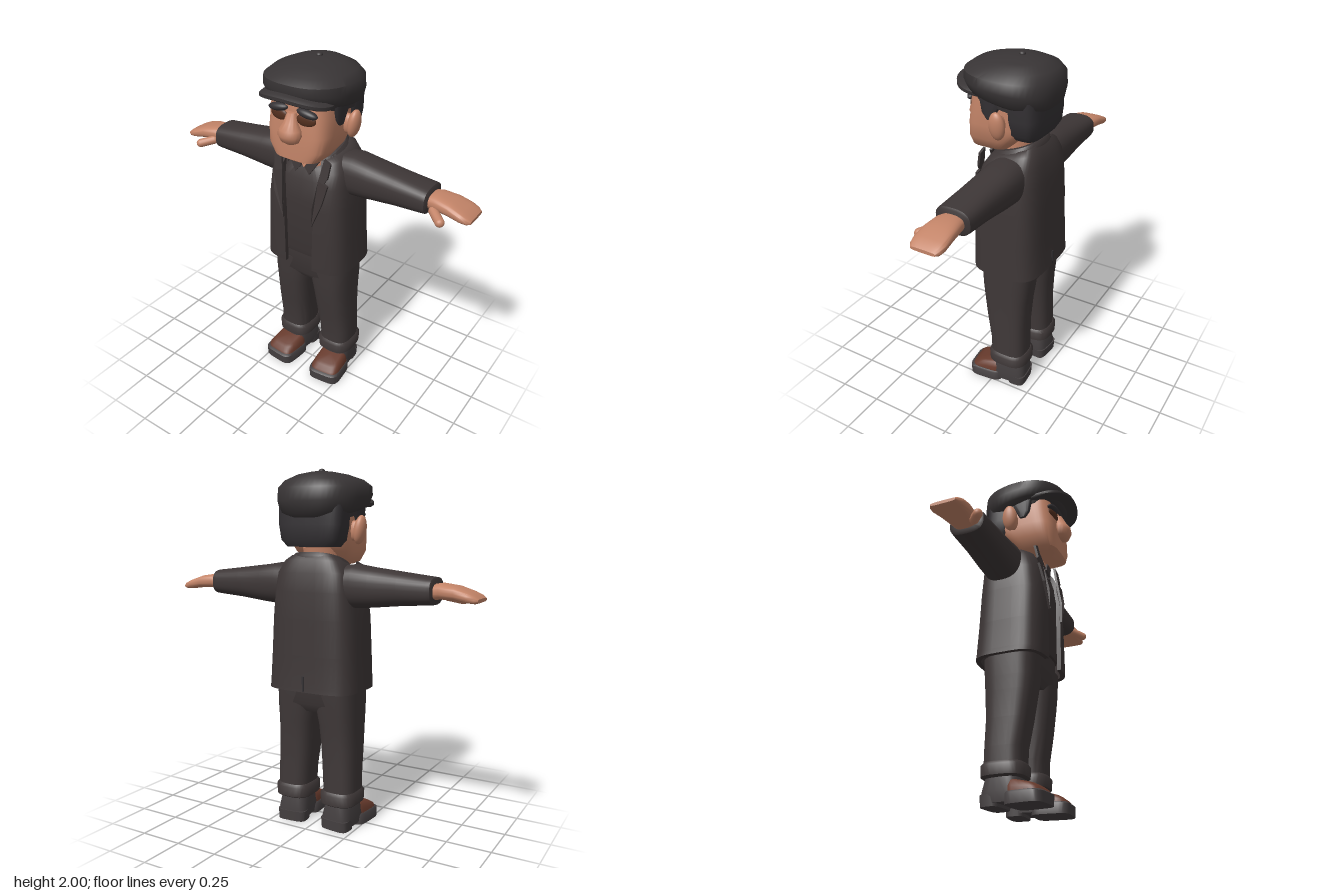
import * as THREE from 'three';
import { toCreasedNormals } from 'three/addons/utils/BufferGeometryUtils.js';

const material = (name, color) => Object.assign(new THREE.MeshStandardMaterial({ color }), { name });

// Point on a superellipse with half sizes a, b and squareness e
function oval(t, a, b, e) {
  const f = (v) => Math.sign(v) * Math.abs(v) ** (2 / e);
  return [a * f(Math.cos(t)), b * f(Math.sin(t))];
}

function build(points, index, crease = 0.8) {
  const g = new THREE.BufferGeometry();
  g.setAttribute('position', new THREE.Float32BufferAttribute(points, 3));
  g.setIndex(index);
  return toCreasedNormals(g, crease);
}

// Closed solid from level sections, low to high: [y, cx, cz, a, b, e, slope]
function loft(sections, n = 32) {
  const p = [], idx = [];
  for (const [y, cx, cz, a, b, e = 2, slope = 0] of sections) {
    for (let j = 0; j < n; j++) {
      const [x, z] = oval((j / n) * Math.PI * 2, a, b, e);
      p.push(cx + x, y + slope * z, cz + z);
    }
  }
  const last = sections.length - 1;
  for (let i = 0; i < last; i++) {
    for (let j = 0; j < n; j++) {
      const k = (j + 1) % n, a = i * n, c = a + n;
      idx.push(a + j, c + j, a + k, c + j, c + k, a + k);
    }
  }
  for (const s of [sections[0], sections[last]]) p.push(s[1], s[0], s[2]);
  const bottom = (last + 1) * n;
  for (let j = 0; j < n; j++) {
    const k = (j + 1) % n;
    idx.push(bottom, j, k, bottom + 1, last * n + k, last * n + j);
  }
  return build(p, idx);
}

// Thick shell open at the front: [y, a, zFront, zBack, halfGap, slope]
function openShell(sections, thick, e = 4, n = 40) {
  const p = [], idx = [], m = 2 * n;
  for (const [y, a, zf, zb, gap, slope = 0] of sections) {
    for (let j = 0; j < m; j++) {
      const inner = j >= n, d = inner ? thick : 0;
      const t0 = Math.acos((gap / (a - d)) ** (e / 2));
      const u = (inner ? m - 1 - j : j) / (n - 1);
      const t = Math.PI - t0 + u * (Math.PI + 2 * t0);
      const [x, z] = oval(t, a - d, (zf - zb) / 2 - d, e);
      p.push(x, y + slope * z, (zf + zb) / 2 + z);
    }
  }
  const last = sections.length - 1;
  for (let i = 0; i < last; i++) {
    for (let j = 0; j < m; j++) {
      const k = (j + 1) % m, a = i * m, c = a + m;
      idx.push(a + j, c + j, a + k, c + j, c + k, a + k);
    }
  }
  for (let j = 0; j < n - 1; j++) {
    const q = m - 1 - j, t = last * m;
    idx.push(j, j + 1, q, j + 1, q - 1, q);
    idx.push(t + j, t + q, t + j + 1, t + j + 1, t + q, t + q - 1);
  }
  return build(p, idx);
}

const ball = (sx, sy, sz) => new THREE.SphereGeometry(1, 24, 16).scale(sx, sy, sz);
const along = (sections) => loft(sections).rotateZ(-Math.PI / 2); // runs out along +x

// Thin cloth flap whose depth follows the chest
function flap(points, base) {
  const g = new THREE.ExtrudeGeometry(new THREE.Shape(points.map(([x, y]) => new THREE.Vector2(x, y))),
    { depth: 0.014, bevelEnabled: false });
  const pos = g.attributes.position;
  for (let i = 0; i < pos.count; i++) {
    pos.setZ(i, pos.getZ(i) + base - 0.2 * Math.max(0, pos.getY(i) - 1.22));
  }
  g.computeVertexNormals();
  return g;
}

// Mirror across x, keeping faces outward
function mirror(geometry) {
  const g = (geometry.index ? geometry.toNonIndexed() : geometry.clone()).scale(-1, 1, 1);
  for (const at of Object.values(g.attributes)) {
    const s = at.itemSize, r = at.array;
    for (let i = 0; i < at.count; i += 3) {
      for (let c = 0; c < s; c++) {
        const q = (i + 1) * s + c;
        [r[q], r[q + s]] = [r[q + s], r[q]];
      }
    }
  }
  return g;
}

export function createModel() {
  const model = new THREE.Group();
  const skin = material('skin', 0xc38468);
  const cloth = material('jacket cloth', 0x3d3636);
  const shirtCloth = material('shirt cloth', 0x3b3434);
  const trouserCloth = material('trouser cloth', 0x3f3838);
  const felt = material('cap felt', 0x383435);
  const hairGrey = material('hair', 0x343134);
  const leather = material('brown leather', 0x673a2c);
  const soleGrey = material('sole', 0x454041);
  const eyeBrown = material('eye shade', 0x54301f);

  const add = (name, geometry, mat) => {
    const mesh = new THREE.Mesh(geometry, mat);
    mesh.name = name;
    model.add(mesh);
  };
  const pair = (name, geometry, mat) => {
    add(name + 'Left', geometry, mat);
    add(name + 'Right', mirror(geometry), mat);
  };

  // Head
  add('head', loft([[1.485, 0, 0.08, 0.1, 0.09, 3], [1.5, 0, 0.075, 0.135, 0.115, 4],
    [1.56, 0, 0.045, 0.175, 0.145, 4.5], [1.64, 0, 0.005, 0.185, 0.183, 4.5],
    [1.74, 0, -0.005, 0.185, 0.183, 4], [1.82, 0, -0.01, 0.18, 0.18, 4]], 48), skin);
  add('neck', loft([[1.36, 0, -0.03, 0.1, 0.1], [1.58, 0, -0.05, 0.11, 0.11]]), skin);
  add('nose', loft([[1.595, 0, 0.195, 0.025, 0.02], [1.61, 0, 0.2, 0.052, 0.036],
    [1.645, 0, 0.2, 0.068, 0.052], [1.675, 0, 0.197, 0.062, 0.05],
    [1.71, 0, 0.188, 0.04, 0.036], [1.76, 0, 0.175, 0.026, 0.025]]), skin);
  pair('ear', ball(0.032, 0.078, 0.045).rotateZ(-0.15).translate(0.228, 1.675, -0.045), skin);
  pair('earRoot', ball(0.045, 0.055, 0.03).translate(0.195, 1.67, -0.04), skin);
  pair('eye', ball(0.055, 0.034, 0.014).rotateY(0.12).translate(0.083, 1.732, 0.173), eyeBrown);
  pair('eyebrow', ball(0.062, 0.022, 0.026).rotateZ(-0.15).translate(0.088, 1.768, 0.172), hairGrey);

  // Hair at the back and in front of the ears
  add('backHair', loft([[1.585, 0, -0.14, 0.15, 0.07, 4], [1.62, 0, -0.145, 0.182, 0.085, 4],
    [1.7, 0, -0.145, 0.195, 0.09, 4], [1.82, 0, -0.14, 0.2, 0.09, 4]]), hairGrey);
  pair('sideburn', loft([[1.685, 0.186, 0.02, 0.013, 0.018, 3], [1.72, 0.188, 0.024, 0.016, 0.04, 3],
    [1.83, 0.19, 0.0, 0.018, 0.085, 3]]), hairGrey);

  // Flat cap
  add('capBand', loft([[1.755, 0, -0.025, 0.2, 0.205, 2.5, 0.2], [1.83, 0, -0.02, 0.215, 0.22, 2.5, 0.1]], 48), felt);
  add('capCrown', loft([[1.775, 0, -0.025, 0.205, 0.215, 2.4, 0.17], [1.795, 0, -0.025, 0.233, 0.24, 2.4, 0.15],
    [1.85, 0, -0.022, 0.247, 0.256, 2.4, 0.1], [1.905, 0, -0.022, 0.243, 0.252, 2.4, 0.04],
    [1.94, 0, -0.03, 0.205, 0.218, 2.3, 0.02], [1.968, 0, -0.04, 0.135, 0.15, 2.1],
    [1.983, 0, -0.05, 0.06, 0.07], [1.986, 0, -0.055, 0.01, 0.01]], 48), felt);
  add('capButton', ball(0.018, 0.012, 0.018).translate(0, 1.988, -0.06), felt);
  const brim = loft([[1.826, 0, 0.11, 0.2, 0.155, 2.4, 0.08], [1.834, 0, 0.11, 0.208, 0.168, 2.4, 0.08],
    [1.85, 0, 0.11, 0.208, 0.168, 2.4, 0.08], [1.862, 0, 0.11, 0.19, 0.15, 2.4, 0.08]], 48);
  const bp = brim.attributes.position;
  for (let i = 0; i < bp.count; i++) bp.setY(i, bp.getY(i) - 0.7 * bp.getX(i) ** 2);
  add('capBrim', brim, felt);

  // Shirt
  add('shirt', loft([[0.865, 0, -0.05, 0.2, 0.155, 4], [0.9, 0, -0.05, 0.21, 0.162, 4],
    [1.22, 0, -0.05, 0.21, 0.165, 4], [1.36, 0, -0.055, 0.19, 0.15, 4, -0.1],
    [1.45, 0, -0.06, 0.14, 0.125, 3, -0.3]], 48), shirtCloth);
  pair('shirtCollar', flap([[0.012, 1.42], [0.045, 1.385], [0.1, 1.47], [0.06, 1.5]], 0.118), shirtCloth);
  add('throat', flap([[0, 1.41], [0.05, 1.49], [-0.05, 1.49]], 0.108), skin);

  // Jacket with open front, lapels, collar and back vent
  add('jacket', openShell([[0.8, 0.27, 0.14, -0.268, 0.09], [0.83, 0.268, 0.141, -0.265, 0.09],
    [1.0, 0.26, 0.14, -0.257, 0.093], [1.2, 0.25, 0.138, -0.252, 0.098],
    [1.34, 0.238, 0.122, -0.245, 0.115, -0.04], [1.43, 0.222, 0.098, -0.232, 0.125, -0.12],
    [1.485, 0.185, 0.07, -0.21, 0.12, -0.22], [1.505, 0.15, 0.06, -0.19, 0.1, -0.3]], 0.025), cloth);
  pair('lapel', flap([[0.094, 1.1], [0.155, 1.25], [0.178, 1.36], [0.152, 1.37], [0.172, 1.4],
    [0.18, 1.48], [0.14, 1.5], [0.118, 1.38], [0.1, 1.22]], 0.137), cloth);
  add('jacketCollar', openShell([[1.455, 0.175, 0.095, -0.2, 0.11, -0.36], [1.49, 0.165, 0.085, -0.2, 0.1, -0.36],
    [1.515, 0.145, 0.07, -0.185, 0.095, -0.34]], 0.025, 2.6), cloth);
  add('backVent', new THREE.BoxGeometry(0.012, 0.085, 0.008).translate(0, 0.845, -0.264), hairGrey);

  // Sleeves and hands
  pair('sleeve', along([[0.12, -1.375, -0.085, 0.11, 0.11, 2.5], [0.24, -1.377, -0.085, 0.118, 0.112, 2.5],
    [0.34, -1.374, -0.084, 0.106, 0.108, 2.6], [0.5, -1.373, -0.08, 0.088, 0.102, 2.6],
    [0.66, -1.37, -0.078, 0.072, 0.1, 2.8], [0.682, -1.37, -0.078, 0.07, 0.098, 2.8],
    [0.688, -1.37, -0.078, 0.06, 0.088, 2.8]]), cloth);
  pair('hand', along([[0.66, -1.365, -0.08, 0.04, 0.06, 2.5], [0.72, -1.372, -0.08, 0.042, 0.075, 2.6],
    [0.8, -1.366, -0.08, 0.036, 0.085, 3], [0.87, -1.349, -0.08, 0.028, 0.089, 3.5],
    [0.905, -1.34, -0.08, 0.021, 0.083, 3.5], [0.924, -1.336, -0.08, 0.009, 0.07, 3.5]]), skin);
  pair('thumb', new THREE.CapsuleGeometry(0.025, 0.085, 8, 16).rotateX(0.45).rotateZ(-Math.PI / 2 - 0.25)
    .rotateY(-0.25).translate(0.755, 1.332, 0.015), skin);

  // Trousers
  add('hips', loft([[0.67, 0, -0.06, 0.2, 0.115, 3.5], [0.72, 0, -0.06, 0.238, 0.15, 3.5],
    [0.9, 0, -0.06, 0.225, 0.15, 3.5]], 40), trouserCloth);
  pair('trouserLeg', loft([[0.17, 0.15, -0.082, 0.095, 0.108, 3], [0.3, 0.147, -0.08, 0.098, 0.109, 3],
    [0.45, 0.14, -0.066, 0.102, 0.122, 3], [0.6, 0.132, -0.06, 0.109, 0.137, 3],
    [0.68, 0.126, -0.06, 0.117, 0.146, 3], [0.8, 0.122, -0.06, 0.122, 0.152, 3]]), trouserCloth);
  pair('trouserCuff', loft([[0.142, 0.148, -0.083, 0.098, 0.108, 3], [0.15, 0.148, -0.083, 0.108, 0.12, 3],
    [0.205, 0.148, -0.083, 0.111, 0.122, 3], [0.222, 0.148, -0.083, 0.097, 0.11, 3]]), trouserCloth);

  // Shoes, turned slightly out
  const shoe = (g) => g.rotateY(0.1).translate(0.158, 0, 0);
  pair('sole', shoe(loft([[0, 0, 0.055, 0.1, 0.105, 4.5], [0.055, 0, 0.055, 0.1, 0.108, 4.5],
    [0.064, 0, 0.05, 0.093, 0.1, 4.5]])), soleGrey);
  pair('heel', shoe(loft([[0, 0, -0.142, 0.085, 0.052, 4], [0.06, 0, -0.142, 0.088, 0.056, 4]])), soleGrey);
  pair('shoeBack', shoe(loft([[0.016, 0, -0.09, 0.083, 0.1, 4], [0.07, 0, -0.085, 0.09, 0.108, 4],
    [0.155, 0, -0.085, 0.078, 0.095, 3]])), soleGrey);
  pair('shoeToe', shoe(loft([[0.055, 0, 0.05, 0.092, 0.1, 4.5], [0.085, 0, 0.047, 0.088, 0.095, 4.5, -0.1],
    [0.112, 0, 0.035, 0.074, 0.082, 4, -0.22], [0.12, 0, 0.03, 0.06, 0.07, 4, -0.24]])), leather);

  return model;
}
